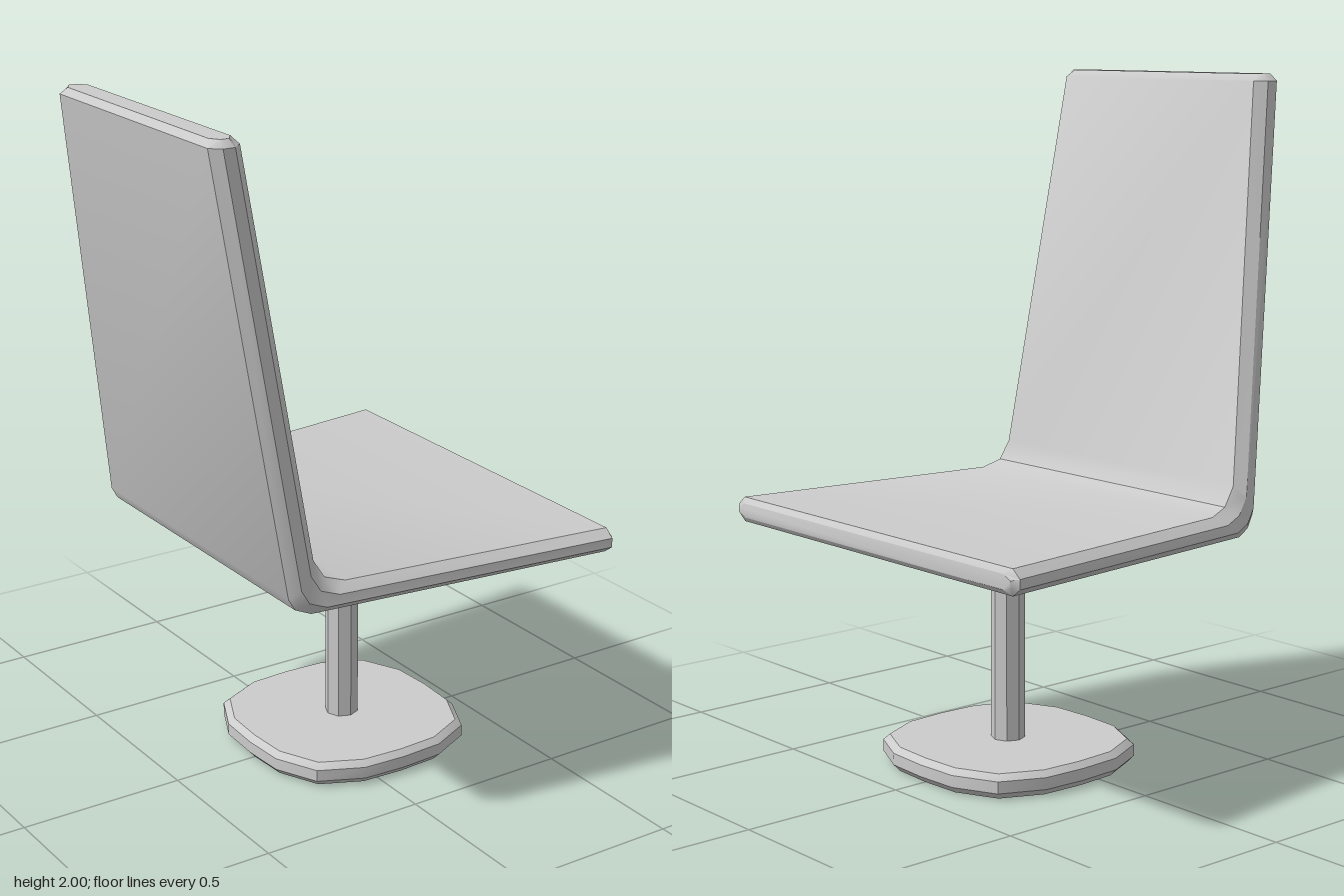
import * as THREE from 'three';
import { toCreasedNormals } from 'three/addons/utils/BufferGeometryUtils.js';

const material = new THREE.MeshStandardMaterial({ color: 0xcccccc });

// Skin a list of rings (counter-clockwise about the path direction) and cap both ends
function loft(rings) {
  const n = rings[0].length;
  const last = (rings.length - 1) * n;
  const index = [];
  for (let r = 0; r < rings.length - 1; r++) {
    for (let j = 0; j < n; j++) {
      const a = r * n + j, b = r * n + (j + 1) % n;
      index.push(a, b, b + n, a, b + n, a + n);
    }
  }
  for (let j = 1; j < n - 1; j++) {
    index.push(0, j + 1, j, last, last + j, last + j + 1);
  }
  const geometry = new THREE.BufferGeometry();
  geometry.setAttribute('position', new THREE.Float32BufferAttribute(rings.flat(2), 3));
  geometry.setIndex(index);
  return toCreasedNormals(geometry, 0.6);
}

function part(name, geometry) {
  const mesh = new THREE.Mesh(geometry, material);
  mesh.name = name;
  return mesh;
}

// One bevelled section of the shell, between an outer and an inner profile point
function shellRing([ox, oy, ix, iy, halfWidth]) {
  const half = [[0, 0.028], [0.3, 0], [0.68, 0], [1, 0.028]];
  const at = ([t, inset], side) =>
    [ox + (ix - ox) * t, oy + (iy - oy) * t, side * (halfWidth - inset)];
  return [
    ...half.map((p) => at(p, -1)),
    ...half.slice().reverse().map((p) => at(p, 1)),
  ];
}

// Bevelled rounded-square ring for the foot plate
function footRing(radius, y) {
  const ring = [];
  for (let i = 0; i < 16; i++) {
    const a = (i / 16) * Math.PI * 2, c = Math.cos(a), s = Math.sin(a);
    const r = radius / Math.cbrt(Math.abs(c) ** 3 + Math.abs(s) ** 3);
    ring.push([r * c, y, -r * s]);
  }
  return ring;
}

export function createModel() {
  const model = new THREE.Group();
  model.name = 'chair';

  // Back and seat in one bent shell: outer x, y, inner x, y, half width
  const stations = [
    [-0.582, 2.0, -0.518, 2.0, 0.405],
    [-0.597, 1.98, -0.502, 1.98, 0.425],
    [-0.425, 0.745, -0.345, 0.84, 0.52],
    [-0.405, 0.71, -0.31, 0.785, 0.522],
    [-0.36, 0.692, -0.25, 0.765, 0.532],
    [0.582, 0.692, 0.582, 0.765, 0.635],
    [0.597, 0.708, 0.597, 0.75, 0.615],
  ];
  model.add(part('seatShell', loft(stations.map(shellRing))));

  // Post
  const post = part('post', toCreasedNormals(new THREE.CylinderGeometry(0.05, 0.05, 0.65, 8), 0.6));
  post.position.set(0.08, 0.38, 0);
  model.add(post);

  // Foot plate
  const foot = part('footPlate', loft([
    footRing(0.312, 0), footRing(0.33, 0.02), footRing(0.33, 0.055), footRing(0.312, 0.072),
  ]));
  foot.position.x = 0.08;
  model.add(foot);

  return model;
}
